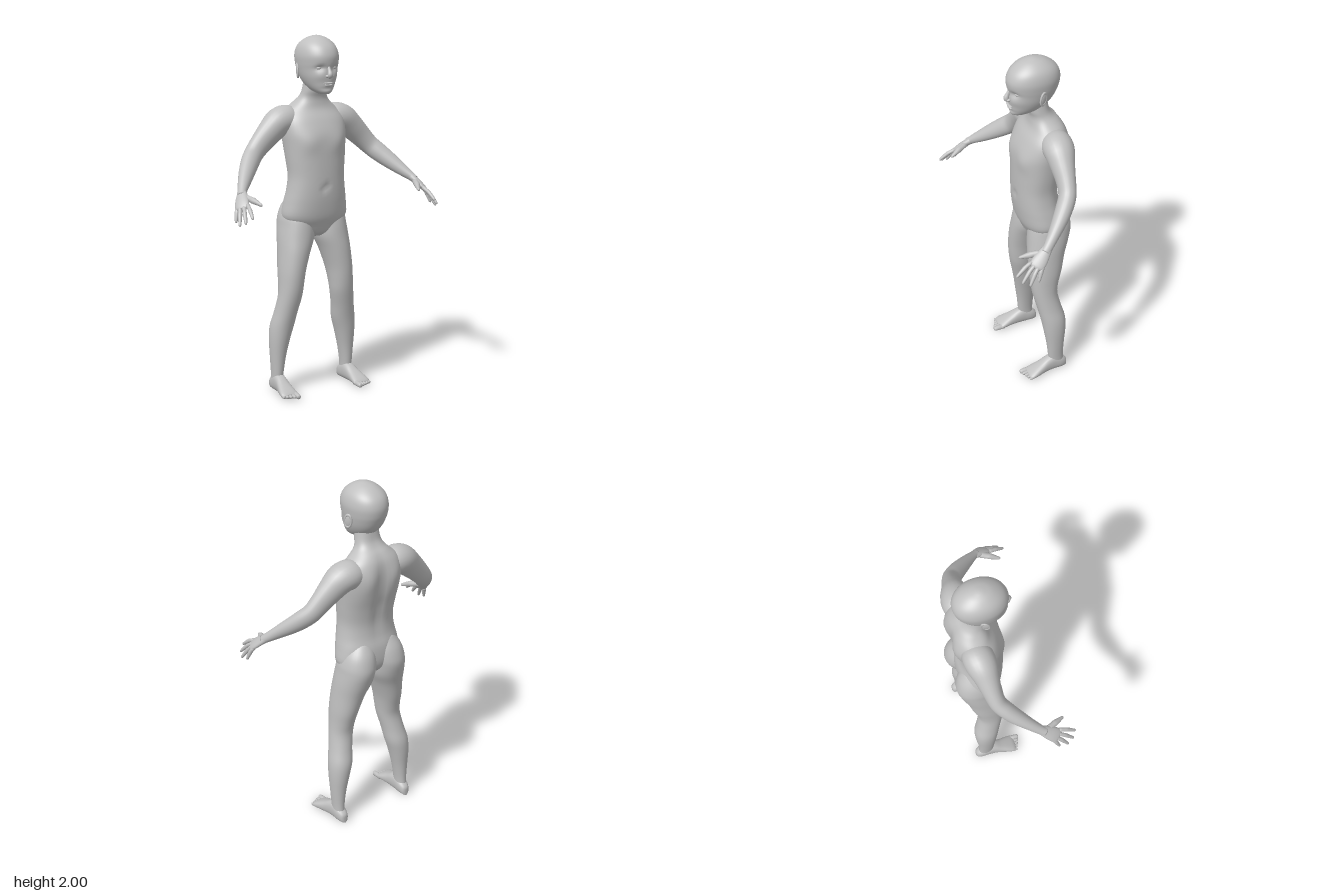
import * as THREE from 'three';

const skin = new THREE.MeshStandardMaterial({ color: 0xc0c0c0 });
skin.name = 'neutral grey';

const V = (x, y, z) => new THREE.Vector3(x, y, z);
const bump = (d, w) => Math.exp(-(d * d) / (w * w));

// Catmull-Rom interpolation through rows of numbers
function refine(rows, steps) {
  const out = [], last = rows.length - 1;
  for (let i = 0; i < last; i++) {
    const a = rows[Math.max(i - 1, 0)], b = rows[i], c = rows[i + 1], d = rows[Math.min(i + 2, last)];
    for (let s = 0; s < steps; s++) {
      const t = s / steps;
      out.push(b.map((p, k) => p + 0.5 * t * (c[k] - a[k]
        + t * (2 * a[k] - 5 * p + 4 * c[k] - d[k] + t * (3 * (p - c[k]) + d[k] - a[k])))));
    }
  }
  out.push(rows[last]);
  return out;
}

// Closed skin over rings {c, u, v}; u x v points along the loft
function loft(rings, n = 28, power = 2, rule = null) {
  const pos = [], idx = [], e = 2 / power, m = rings.length;
  const curve = (s) => Math.sign(s) * Math.pow(Math.abs(s), e);
  for (const { c, u, v } of rings) {
    for (let j = 0; j < n; j++) {
      const a = (j / n) * Math.PI * 2;
      const p = c.clone().addScaledVector(u, curve(Math.cos(a))).addScaledVector(v, curve(Math.sin(a)));
      if (rule) rule(p);
      pos.push(p.x, p.y, p.z);
    }
  }
  for (let i = 0; i < m - 1; i++) {
    for (let j = 0; j < n; j++) {
      const a = i * n + j, b = i * n + (j + 1) % n;
      idx.push(a, b, b + n, a, b + n, a + n);
    }
  }
  const start = m * n, end = start + 1, top = (m - 1) * n;
  pos.push(...rings[0].c.toArray(), ...rings[m - 1].c.toArray());
  for (let j = 0; j < n; j++) {
    const k = (j + 1) % n;
    idx.push(start, k, j, end, top + j, top + k);
  }
  const g = new THREE.BufferGeometry();
  g.setAttribute('position', new THREE.Float32BufferAttribute(pos, 3));
  g.setIndex(idx);
  g.computeVertexNormals();
  return g;
}

// Horizontal sections: [y, centre x, half width, front z, back z]
const column = (rows, n, power, rule) => loft(refine(rows, 4).map(([y, x, rx, f, b]) => ({
  c: V(x, y, (f + b) / 2), u: V(0, 0, (f - b) / 2), v: V(rx, 0, 0),
})), n, power, rule);

// Sections along a path: [x, y, z, half width, half thickness]
function limb(rows, across = V(0, 0, 1), n = 20, steps = 4) {
  const pts = refine(rows, steps);
  return loft(pts.map(([x, y, z, w, h], i) => {
    const a = pts[Math.max(i - 1, 0)], b = pts[Math.min(i + 1, pts.length - 1)];
    const t = V(b[0] - a[0], b[1] - a[1], b[2] - a[2]).normalize();
    const v = t.clone().cross(across).normalize(), u = v.clone().cross(t);
    return { c: V(x, y, z), u: u.multiplyScalar(w), v: v.multiplyScalar(h) };
  }), n);
}

// Finger or toe with a rounded tip
function digit(a, b, r0, r1, sag = 0) {
  const p = (t, r) => {
    const q = a.clone().lerp(b, t);
    return [q.x, q.y + sag * 4 * t * (1 - t), q.z, r, r];
  };
  return limb([p(0, r0), p(0.35, r0 * 0.95), p(0.5, r0), p(0.85, r1), p(0.96, r1 * 0.75), p(1, r1 * 0.15)], V(1, 0, -0.4).normalize(), 10, 2);
}

function ellipsoid(x, y, z, rx, ry, rz) {
  return new THREE.SphereGeometry(1, 20, 14).scale(rx, ry, rz).translate(x, y, z);
}

function mirrored(g) {
  const m = g.clone().scale(-1, 1, 1), ix = m.index.array;
  for (let i = 0; i < ix.length; i += 3) [ix[i], ix[i + 1]] = [ix[i + 1], ix[i]];
  m.computeVertexNormals();
  return m;
}

export function createModel() {
  const model = new THREE.Group();
  model.name = 'figure';
  const add = (name, g) => {
    const mesh = new THREE.Mesh(g, skin);
    mesh.name = name;
    model.add(mesh);
  };
  const pair = (name, g) => { add(name + 'Left', g); add(name + 'Right', mirrored(g)); };

  // Torso and neck, with spine furrow, shoulder blades, chest and navel
  add('torso', column([
    [0.885, 0, 0.03, -0.06, -0.12], [0.91, 0, 0.09, -0.03, -0.17], [0.95, 0, 0.15, -0.012, -0.21],
    [1.0, 0, 0.193, 0.008, -0.225], [1.08, 0, 0.185, 0.022, -0.222], [1.15, 0, 0.172, 0.028, -0.205],
    [1.23, 0, 0.164, 0.03, -0.2], [1.32, 0, 0.172, 0.03, -0.215], [1.4, 0, 0.18, 0.028, -0.235],
    [1.47, 0, 0.187, 0.018, -0.243], [1.54, 0, 0.185, -0.012, -0.243], [1.595, 0, 0.15, -0.045, -0.233],
    [1.635, 0, 0.105, -0.055, -0.21], [1.665, 0, 0.08, -0.055, -0.18], [1.7, 0, 0.07, -0.045, -0.16],
    [1.76, 0, 0.062, -0.04, -0.15],
  ], 48, 2.25, (p) => {
    const ax = Math.abs(p.x);
    if (p.z < -0.12) {
      p.z += 0.018 * bump(p.x, 0.03) * bump(p.y - 1.4, 0.2);
      p.z -= 0.016 * bump(ax - 0.09, 0.05) * bump(p.y - 1.5, 0.08);
    } else if (p.z > -0.05) {
      p.z += 0.009 * bump(ax - 0.09, 0.05) * bump(p.y - 1.42, 0.05);
      p.z -= 0.012 * bump(p.x, 0.015) * bump(p.y - 1.17, 0.02);
    }
  }));

  // Head with eye sockets and cheeks
  add('head', column([
    [1.686, 0, 0.025, 0.038, -0.03], [1.695, 0, 0.042, 0.05, -0.07], [1.715, 0, 0.062, 0.056, -0.12],
    [1.745, 0, 0.08, 0.057, -0.16], [1.78, 0, 0.094, 0.06, -0.188], [1.82, 0, 0.103, 0.06, -0.208],
    [1.85, 0, 0.108, 0.066, -0.218], [1.89, 0, 0.111, 0.068, -0.222], [1.93, 0, 0.103, 0.052, -0.21],
    [1.96, 0, 0.085, 0.024, -0.183], [1.985, 0, 0.053, -0.015, -0.142], [1.997, 0, 0.022, -0.052, -0.102],
    [2.0, 0, 0.004, -0.073, -0.081],
  ], 56, 2.1, (p) => {
    const ax = Math.abs(p.x);
    if (p.z < 0) return;
    p.z -= 0.014 * bump(ax - 0.044, 0.022) * bump(p.y - 1.828, 0.016);
    p.z += 0.005 * bump(ax - 0.05, 0.03) * bump(p.y - 1.785, 0.025);
    p.z -= 0.006 * bump(p.x, 0.04) * bump(p.y - 1.717, 0.01);
  }));

  // Face
  pair('eye', ellipsoid(0.044, 1.827, 0.026, 0.02, 0.011, 0.015));
  add('nose', limb([
    [0, 1.84, 0.052, 0.008, 0.008], [0, 1.815, 0.064, 0.01, 0.011], [0, 1.793, 0.073, 0.015, 0.015],
    [0, 1.78, 0.069, 0.014, 0.011], [0, 1.775, 0.062, 0.006, 0.005],
  ], V(1, 0, 0), 16));
  pair('nostril', ellipsoid(0.014, 1.784, 0.064, 0.009, 0.008, 0.012));
  add('upperLip', ellipsoid(0, 1.746, 0.055, 0.031, 0.006, 0.013));
  add('lowerLip', ellipsoid(0, 1.735, 0.053, 0.026, 0.007, 0.013));

  // Ears
  const placeEar = (g) => g.rotateY(Math.PI / 2 + 0.4).rotateX(-0.15).translate(0.113, 1.81, -0.088);
  pair('earRim', placeEar(new THREE.TorusGeometry(0.024, 0.006, 8, 20).scale(0.85, 1.45, 1)));
  pair('ear', placeEar(new THREE.SphereGeometry(1, 16, 10).scale(0.021, 0.034, 0.007)));

  // Arms
  pair('arm', limb([
    [0.08, 1.535, -0.15, 0.06, 0.05], [0.14, 1.54, -0.148, 0.082, 0.078], [0.2, 1.528, -0.142, 0.083, 0.08],
    [0.26, 1.478, -0.135, 0.066, 0.072], [0.32, 1.42, -0.128, 0.052, 0.062], [0.37, 1.368, -0.115, 0.047, 0.055],
    [0.41, 1.328, -0.083, 0.046, 0.053], [0.455, 1.282, -0.035, 0.041, 0.046], [0.5, 1.235, 0.02, 0.032, 0.035],
    [0.535, 1.198, 0.065, 0.026, 0.024], [0.55, 1.18, 0.088, 0.025, 0.021],
  ], V(0, 0, 1), 24));

  // Hands
  const across = V(0.04, -0.015, -0.05).normalize();
  pair('palm', limb([
    [0.537, 1.195, 0.068, 0.025, 0.021], [0.551, 1.174, 0.096, 0.034, 0.019], [0.566, 1.15, 0.125, 0.04, 0.017],
    [0.577, 1.13, 0.148, 0.038, 0.013], [0.581, 1.122, 0.156, 0.026, 0.008],
  ], across, 20));
  const fingers = [
    ['indexFinger', V(0.553, 1.143, 0.165), V(0.57, 1.082, 0.257)],
    ['middleFinger', V(0.57, 1.134, 0.155), V(0.6, 1.056, 0.236)],
    ['ringFinger', V(0.583, 1.128, 0.138), V(0.617, 1.04, 0.2)],
    ['littleFinger', V(0.59, 1.128, 0.118), V(0.614, 1.052, 0.15)],
  ];
  for (const [name, a, b] of fingers) pair(name, digit(a, b, 0.0115, 0.0085, 0.008));
  pair('thumb', digit(V(0.538, 1.175, 0.105), V(0.492, 1.14, 0.212), 0.017, 0.01, 0.004));

  // Legs, their tops forming the buttocks
  pair('leg', column([
    [0.03, 0.226, 0.03, -0.1, -0.185], [0.1, 0.226, 0.032, -0.09, -0.18], [0.2, 0.222, 0.043, -0.08, -0.185],
    [0.3, 0.213, 0.057, -0.065, -0.195], [0.38, 0.2, 0.066, -0.052, -0.195], [0.46, 0.185, 0.064, -0.035, -0.175],
    [0.55, 0.168, 0.066, -0.015, -0.158], [0.62, 0.16, 0.068, -0.005, -0.168], [0.7, 0.151, 0.074, 0, -0.19],
    [0.8, 0.131, 0.086, 0, -0.213], [0.88, 0.111, 0.1, -0.006, -0.24], [0.95, 0.102, 0.1, -0.014, -0.258],
    [1.0, 0.096, 0.099, -0.025, -0.256], [1.06, 0.088, 0.085, -0.05, -0.238], [1.12, 0.075, 0.055, -0.08, -0.2],
  ], 32, 2.1));

  // Feet: [z, centre x, half width, half height], soles on the ground
  pair('foot', loft(refine([
    [-0.203, 0.224, 0.008, 0.022], [-0.195, 0.224, 0.023, 0.03], [-0.165, 0.225, 0.033, 0.042],
    [-0.12, 0.226, 0.035, 0.052], [-0.08, 0.228, 0.037, 0.047], [-0.04, 0.232, 0.042, 0.036],
    [0, 0.235, 0.049, 0.026], [0.03, 0.236, 0.051, 0.018], [0.045, 0.234, 0.044, 0.012],
  ], 4).map(([z, x, w, h]) => ({ c: V(x, h, z), u: V(w, 0, 0), v: V(0, h, 0) })), 24, 2.4));
  for (let i = 0; i < 5; i++) {
    const x = i ? 0.202 + i * 0.0185 : 0.2, r = i ? 0.0105 - i * 0.0004 : 0.0155;
    pair('toe' + (i + 1), digit(V(x, 0.018, 0.015), V(x + 0.003, 0.0125, 0.082 - i * 0.008), r, r * 0.9));
  }
  return model;
}
